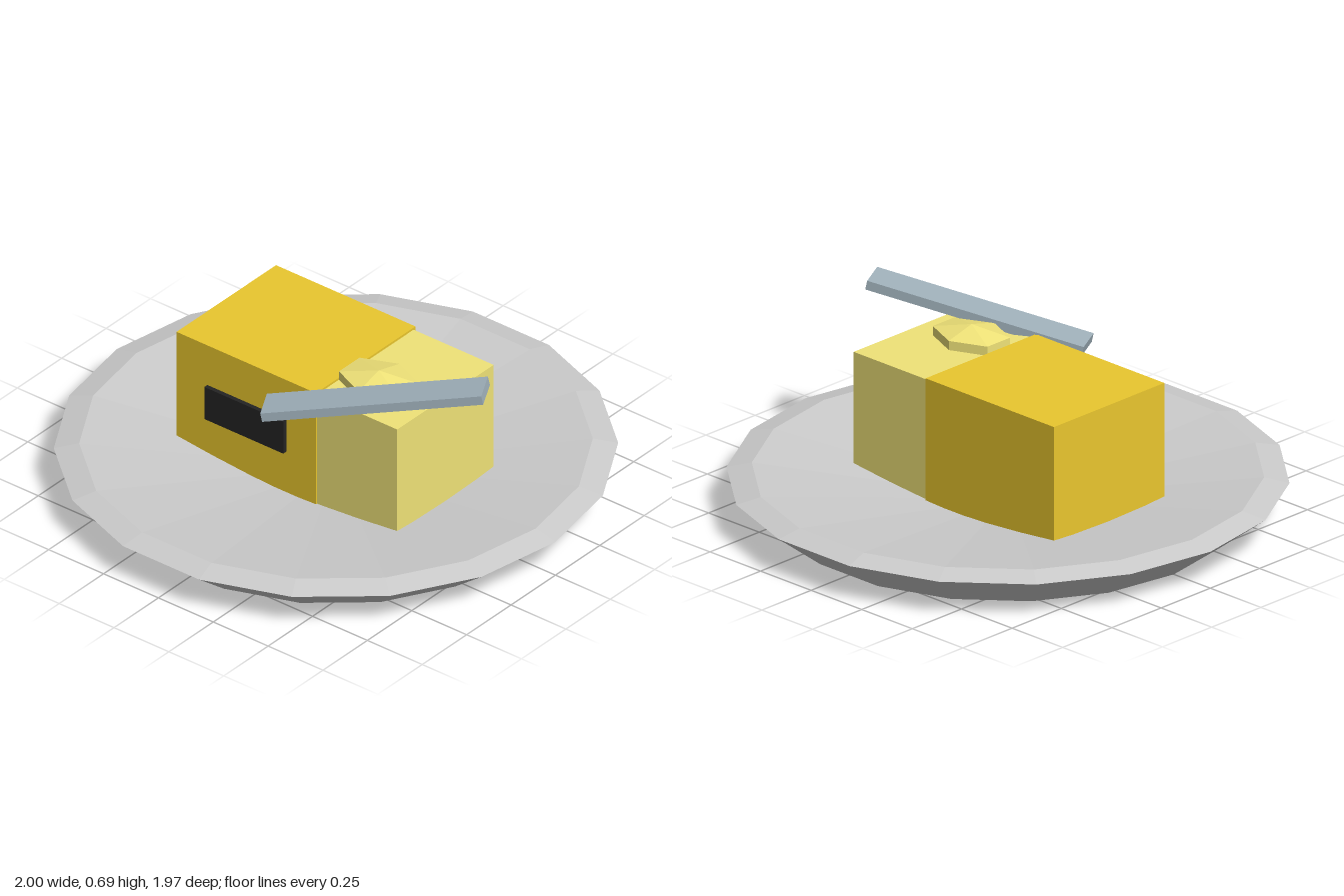
import * as THREE from 'three';

const material = (color) => new THREE.MeshStandardMaterial({ color, flatShading: true });

export function createModel() {
  const model = new THREE.Group();
  const gold = material(0xeac72e);
  const cream = material(0xf0e378);
  const steel = material(0x9fb0ba);
  const black = material(0x242424);
  const grey = material(0xcccccc);

  const add = (name, geometry, mat, x, y, z, parent = model) => {
    const mesh = new THREE.Mesh(geometry, mat);
    mesh.name = name;
    mesh.position.set(x, y, z);
    parent.add(mesh);
    return mesh;
  };

  // Box given by its lowest and highest corners
  const addBlock = (name, mat, [x0, y0, z0], [x1, y1, z1]) =>
    add(name, new THREE.BoxGeometry(x1 - x0, y1 - y0, z1 - z0), mat,
      (x0 + x1) / 2, (y0 + y1) / 2, (z0 + z1) / 2);

  // Eighteen-sided plate: flat base, flared wall, sloped rim, shallow dish
  const profile = [[0, 0], [0.82, 0], [1, 0.14], [0.91, 0.16], [0, 0.05]]
    .map(([r, y]) => new THREE.Vector2(r, y));
  add('plate', new THREE.LatheGeometry(profile, 18, Math.PI / 2), grey, 0, 0, 0);

  // Wrapped half of the butter, its label, and the exposed half
  addBlock('wrapper', gold, [-0.5, 0.04, -0.28], [0.135, 0.557, 0.28]);
  addBlock('label', black, [-0.36, 0.255, 0.27], [0, 0.39, 0.297]);
  addBlock('butter', cream, [0.13, 0.04, -0.27], [0.5, 0.548, 0.273]);

  // Six-sided pat with a shallow peak, slightly squashed front to back
  const pat = new THREE.Group();
  pat.name = 'butterPat';
  pat.position.set(0.27, 0.54, 0.092);
  pat.scale.z = 0.74;
  add('patSide', new THREE.CylinderGeometry(0.156, 0.156, 0.043, 6, 1, true), cream, 0, 0.0215, 0, pat);
  add('patPeak', new THREE.ConeGeometry(0.156, 0.03, 6, 1, true), cream, 0, 0.058, 0, pat);
  model.add(pat);

  // Knife resting across the butter, tip raised
  const knife = add('knife', new THREE.BoxGeometry(0.813, 0.035, 0.132), steel, 0.36, 0.595, 0.225);
  knife.rotation.set(0, 0.5, 0.204, 'YZX');

  return model;
}
